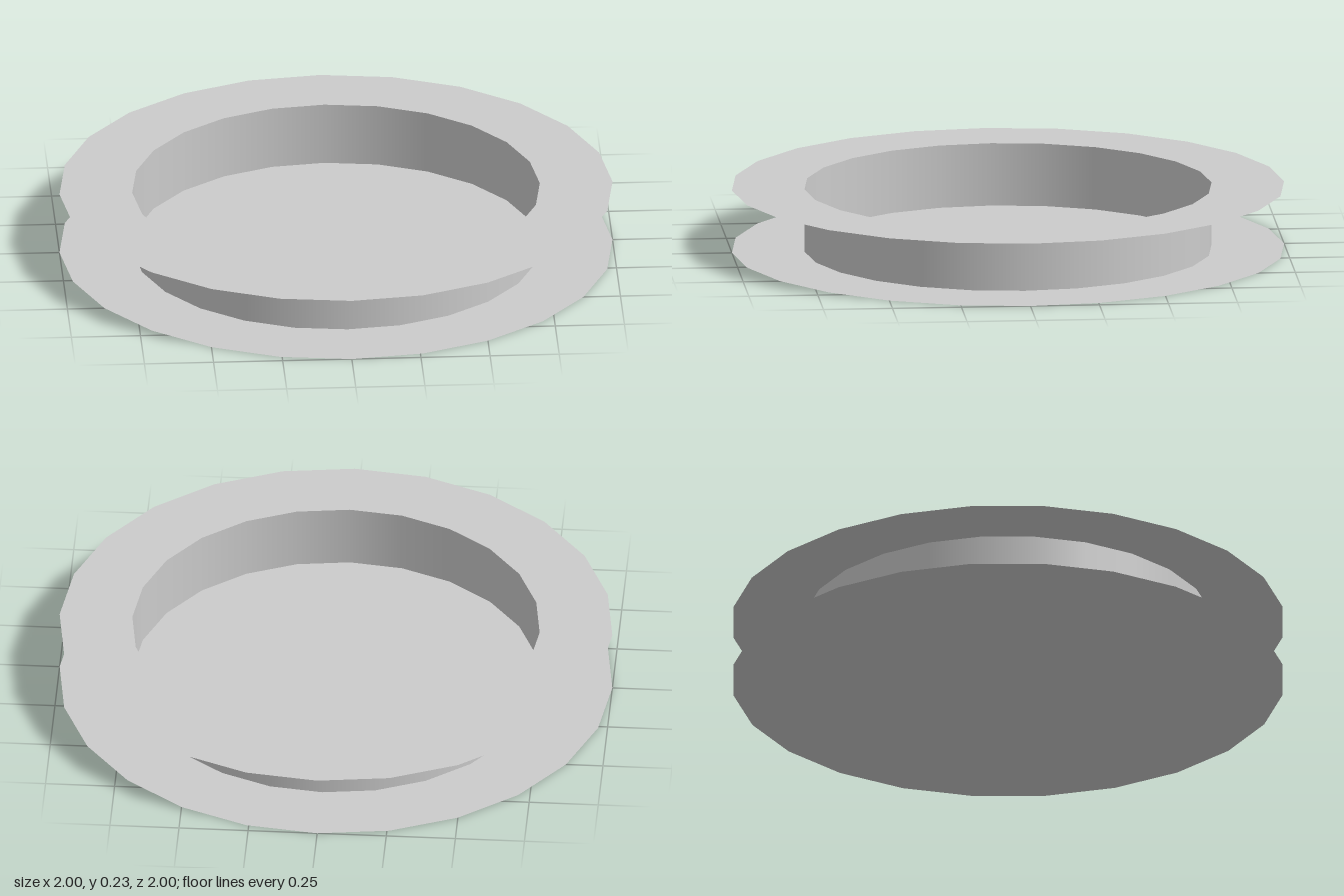
import * as THREE from 'three';

const SIDES = 24;
const RIM = 1;
const HUB = 0.737;
const HEIGHT = 0.23;

export function createModel() {
  const group = new THREE.Group();
  group.name = 'openSpool';
  const material = new THREE.MeshStandardMaterial({ color: 0xcccccc, side: THREE.DoubleSide });

  const add = (name, geometry, y) => {
    const mesh = new THREE.Mesh(geometry, material);
    mesh.name = name;
    mesh.position.y = y;
    group.add(mesh);
  };

  // Paper-thin closed base
  add('baseDisc', new THREE.CircleGeometry(RIM, SIDES).rotateX(-Math.PI / 2), 0);

  // Open, smooth-shaded hub wall
  add('hubWall', new THREE.CylinderGeometry(HUB, HUB, HEIGHT, SIDES, 1, true), HEIGHT / 2);

  // Paper-thin upper flange around the opening
  add('topFlange', new THREE.RingGeometry(HUB, RIM, SIDES).rotateX(-Math.PI / 2), HEIGHT);

  return group;
}
